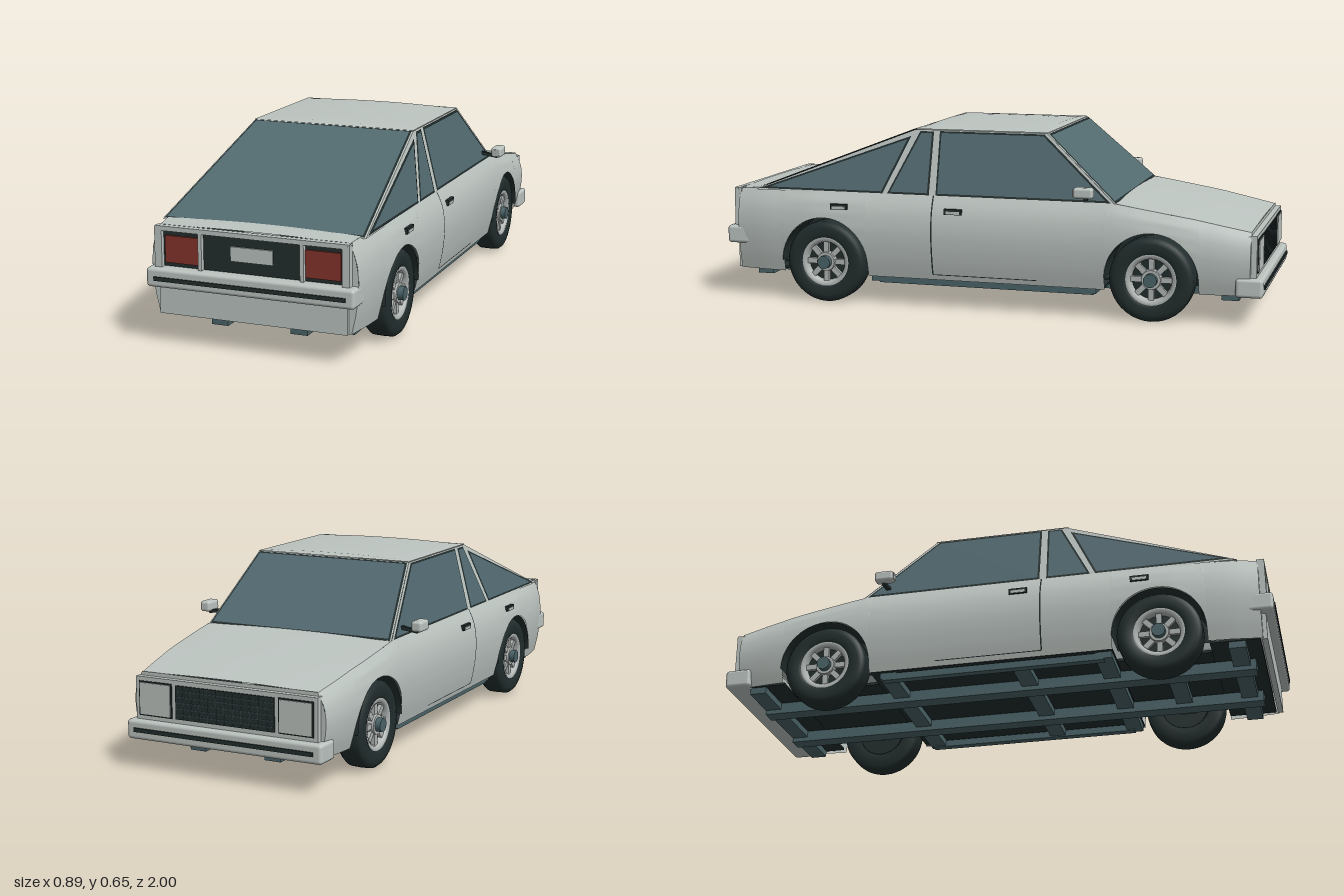
import * as THREE from 'three';
import { RoundedBoxGeometry } from 'three/addons/geometries/RoundedBoxGeometry.js';

const mat = (name, color, side = THREE.FrontSide) => {
  const m = new THREE.MeshStandardMaterial({ color, side });
  m.name = name;
  return m;
};
const { lerp } = THREE.MathUtils;

// piecewise linear lookup in [[key, value], ...]
function lookup(table, k) {
  for (let i = 1; i < table.length; i++) {
    const [a, va] = table[i - 1], [b, vb] = table[i];
    if (k <= b) return lerp(va, vb, Math.max(0, (k - a) / (b - a)));
  }
  return table[table.length - 1][1];
}

// body shape rules: nose at -z, tail at +z
const SILL = 0.105, ARCH = 0.165, HUB_Y = 0.15, AXLES = [-0.61, 0.6], END = 0.95;
const topY = z => lookup([[-0.97, 0.322], [-0.75, 0.366], [-0.475, 0.41], [0.88, 0.41], [0.97, 0.402]], z);
const taper = z => lookup([[-0.97, 0.91], [-0.85, 0.95], [-0.7, 0.985], [-0.55, 1], [0.65, 1], [0.85, 0.965], [0.97, 0.92]], z);
const section = t => lookup([[0, 0.37], [0.2, 0.385], [0.4, 0.394], [0.58, 0.397], [0.75, 0.392], [0.88, 0.382], [1, 0.363]], t);
const bodyX = (y, z) => section((y - SILL) / (topY(z) - SILL)) * taper(z);

export function createModel() {
  const car = new THREE.Group();
  car.name = 'hatchbackCar';
  const paint = mat('silverPaint', 0xbcc4c0, THREE.DoubleSide);
  const glass = mat('tintedGlass', 0x526a70, THREE.DoubleSide);
  const black = mat('blackTrim', 0x222d2d, THREE.DoubleSide);
  const steel = mat('frameSteel', 0x4a6368);
  const red = mat('tailLampRed', 0x84332a);
  const rimMat = mat('rimMetal', 0xb0b6b4);
  const mesh = 0x37474a;
  const grilleMat = mat('grilleBars', mesh);

  function add(name, geo, material, x = 0, y = 0, z = 0, parent = car) {
    const m = new THREE.Mesh(geo, material);
    m.name = name;
    m.position.set(x, y, z);
    parent.add(m);
    return m;
  }
  // box from ranges
  const box = (name, material, x0, x1, y0, y1, z0, z1, r = 0) => add(name,
    r ? new RoundedBoxGeometry(x1 - x0, y1 - y0, z1 - z0, 2, r) : new THREE.BoxGeometry(x1 - x0, y1 - y0, z1 - z0),
    material, (x0 + x1) / 2, (y0 + y1) / 2, (z0 + z1) / 2);
  // surface from a grid rule f(i, j) -> [x, y, z]
  function surf(name, nu, nv, f, material) {
    const pos = [], idx = [];
    for (let i = 0; i <= nu; i++) for (let j = 0; j <= nv; j++) {
      pos.push(...f(i, j));
      if (i < nu && j < nv) {
        const a = i * (nv + 1) + j, b = a + nv + 1;
        idx.push(a, b, a + 1, b, b + 1, a + 1);
      }
    }
    const g = new THREE.BufferGeometry();
    g.setAttribute('position', new THREE.Float32BufferAttribute(pos, 3));
    g.setIndex(idx);
    g.computeVertexNormals();
    return add(name, g, material);
  }

  // columns along the side: [z, lower edge], following both wheel arches
  const cols = [];
  const straight = (a, b, n) => { for (let i = 0; i <= n; i++) cols.push([lerp(a, b, i / n), SILL]); };
  const arch = c => {
    for (let i = 0; i <= 24; i++) {
      const a = (i / 24 - 0.5) * Math.PI;
      cols.push([c + ARCH * Math.sin(a), HUB_Y + ARCH * Math.cos(a)]);
    }
  };
  straight(-END, AXLES[0] - ARCH, 5);
  arch(AXLES[0]);
  straight(AXLES[0] + ARCH, AXLES[1] - ARCH, 8);
  arch(AXLES[1]);
  straight(AXLES[1] + ARCH, END, 5);

  for (const s of [1, -1]) {
    surf('bodySide', cols.length - 1, 12, (i, j) => {
      const [z, low] = cols[i], y = lerp(low, topY(z), j / 12);
      return [s * bodyX(y, z), y, z];
    }, paint);
  }
  // hood, rear deck and the two end caps
  const deck = (name, z0, z1) => surf(name, 10, 12, (i, j) => {
    const z = lerp(z0, z1, i / 10), u = j / 6 - 1, y = topY(z);
    return [u * bodyX(y, z), y + 0.006 * (1 - u * u), z];
  }, paint);
  deck('hood', -END, -0.46);
  deck('rearDeck', 0.85, END);
  for (const z of [-END, END]) {
    surf(z < 0 ? 'nosePanel' : 'tailPanel', 10, 1, (i, j) => {
      const y = lerp(SILL, topY(z) + 0.003, i / 10);
      return [(j * 2 - 1) * bodyX(Math.min(y, topY(z)), z), y, z];
    }, paint);
  }

  // flat convex polygon
  function poly(name, pts, material) {
    const g = new THREE.BufferGeometry().setFromPoints(pts);
    const idx = [];
    for (let i = 2; i < pts.length; i++) idx.push(0, i - 1, i);
    g.setIndex(idx);
    g.computeVertexNormals();
    return add(name, g, material);
  }
  // shrink a polygon by d and lift it outwards by h
  function inset(pts, d, h) {
    const n = pts[1].clone().sub(pts[0]).cross(pts[2].clone().sub(pts[0])).normalize();
    if (n.dot(pts[0].clone().sub(new THREE.Vector3(0, 0.4, 0))) < 0) n.negate();
    return pts.map((p, i) => {
      const a = pts[(i + pts.length - 1) % pts.length].clone().sub(p).normalize();
      const b = pts[(i + 1) % pts.length].clone().sub(p).normalize();
      const k = d / a.clone().cross(b).length();
      return p.clone().addScaledVector(a.add(b), k).addScaledVector(n, h);
    });
  }
  const windowPane = (name, pts, edge = 0) => {
    poly(name + 'Seal', inset(pts, edge, 0.002), black);
    poly(name, inset(pts, edge + 0.007, 0.004), glass);
  };

  // greenhouse
  const cab = (s, z, y) => new THREE.Vector3(s * (0.363 - (y - 0.41) * 0.25), y, z);
  const ROOF = 0.64;
  for (const s of [1, -1]) {
    const side = pairs => pairs.map(([z, y]) => cab(s, z, y));
    poly('cabinSide', side([[0.88, 0.405], [0.27, ROOF], [-0.22, ROOF], [-0.48, 0.405]]), paint);
    windowPane('doorWindow', side([[0.178, 0.41], [0.178, 0.636], [-0.21, 0.636], [-0.462, 0.41]]));
    windowPane('quarterWindow', side([[0.362, 0.41], [0.252, 0.634], [0.2, 0.634], [0.203, 0.41]]));
    windowPane('rearSideWindow', side([[0.86, 0.41], [0.285, 0.616], [0.38, 0.41]]));
  }
  const slope = (zLow, zTop) => [cab(1, zLow, 0.405), cab(1, zTop, ROOF), cab(-1, zTop, ROOF), cab(-1, zLow, 0.405)];
  for (const [name, a, b] of [['windshield', -0.482, -0.22], ['hatch', 0.88, 0.27]]) {
    poly(name + 'Frame', slope(a, b), paint);
    windowPane(name + 'Glass', slope(a, b), 0.005);
  }
  const roofRows = [[-0.222, 0], [-0.2, 0.8], [-0.1, 1], [0.15, 1], [0.25, 0.8], [0.275, 0]];
  surf('roof', roofRows.length - 1, 12, (i, j) => {
    const u = j / 6 - 1;
    return [u * 0.306, ROOF + 0.002 + 0.011 * roofRows[i][1] * (1 - u * u), roofRows[i][0]];
  }, paint);

  // door seams, handles and mirrors
  for (const s of [1, -1]) {
    surf('doorSeam', 12, 1, (i, j) => {
      const y = lerp(0.125, 0.41, i / 12), z = 0.183 + j * 0.005;
      return [s * (bodyX(y, z) + 0.0015), y, z];
    }, black);
    surf('doorBottomSeam', 1, 1, (i, j) => {
      const y = 0.123 + j * 0.003, z = lerp(-0.2, 0.186, i);
      return [s * (bodyX(y, z) + 0.0015), y, z];
    }, black);
    for (const z of [0.105, 0.54]) {
      add('handleRecess', new THREE.BoxGeometry(0.012, 0.02, 0.065), black, s * 0.389, 0.358, z);
      add('doorHandle', new THREE.BoxGeometry(0.012, 0.01, 0.05), paint, s * 0.391, 0.355, z);
    }
    const arm = add('mirrorArm', new THREE.BoxGeometry(0.07, 0.012, 0.015), black, s * 0.385, 0.436, -0.385);
    arm.rotation.z = -s * 0.15;
    add('mirror', new RoundedBoxGeometry(0.04, 0.038, 0.07, 2, 0.01), paint, s * 0.425, 0.452, -0.38);
    add('mirrorGlass', new THREE.BoxGeometry(0.026, 0.024, 0.004), rimMat, s * 0.425, 0.452, -0.345);
  }

  // bumpers with a dark rub strip
  box('rearBumper', paint, -0.37, 0.37, 0.2, 0.266, 0.9, 0.995, 0.012);
  box('rearBumperStrip', black, -0.34, 0.34, 0.224, 0.238, 0.99, 0.999);
  box('frontBumper', paint, -0.37, 0.37, 0.103, 0.17, -0.995, -0.9, 0.012);
  box('frontBumperStrip', black, -0.34, 0.34, 0.13, 0.144, -1, -0.99);

  // tail: lamps, plate and surround
  box('rearValance', paint, -0.335, 0.335, 0.105, 0.21, 0.945, 0.965);
  box('tailRecess', black, -0.325, 0.325, 0.268, 0.392, 0.945, 0.956);
  box('tailTopRail', paint, -0.345, 0.345, 0.39, 0.406, 0.945, 0.972);
  box('numberPlate', paint, -0.075, 0.075, 0.308, 0.357, 0.955, 0.962);
  for (const s of [1, -1]) {
    add('tailLamp', new THREE.BoxGeometry(0.122, 0.092, 0.008), red, s * 0.251, 0.327, 0.959);
    add('tailDivider', new THREE.BoxGeometry(0.013, 0.125, 0.024), paint, s * 0.181, 0.33, 0.96);
    add('tailCornerPost', new THREE.BoxGeometry(0.026, 0.135, 0.027), paint, s * 0.333, 0.333, 0.959);
  }

  // nose: grille and headlamps
  box('noseSurround', paint, -0.345, 0.345, 0.165, 0.316, -0.97, -0.94);
  box('grille', black, -0.188, 0.188, 0.185, 0.3, -0.974, -0.968);
  for (let i = 0; i < 5; i++) box('grilleBar', grilleMat, -0.185, 0.185, 0.2 + i * 0.02, 0.203 + i * 0.02, -0.976, -0.972);
  for (let i = -5; i <= 5; i++) box('grilleRib', grilleMat, i * 0.032 - 0.001, i * 0.032 + 0.001, 0.187, 0.298, -0.976, -0.972);
  for (const s of [1, -1]) {
    add('headlampSeal', new THREE.BoxGeometry(0.128, 0.118, 0.006), black, s * 0.267, 0.243, -0.971);
    add('headlamp', new THREE.BoxGeometry(0.118, 0.108, 0.006), paint, s * 0.267, 0.243, -0.974);
  }

  // dark floor and steel ladder frame
  box('floorSpine', black, -0.25, 0.25, 0.112, 0.122, -0.94, 0.94);
  box('floorMiddle', black, -0.365, 0.365, 0.108, 0.116, -0.443, 0.433);
  box('floorFront', black, -0.335, 0.335, 0.108, 0.116, -0.94, -0.777);
  box('floorRear', black, -0.335, 0.335, 0.108, 0.116, 0.767, 0.94);
  for (const s of [1, -1]) add('frameRail', new THREE.BoxGeometry(0.06, 0.04, 1.82), steel, s * 0.143, 0.088, 0);
  for (const [z, w] of [[-0.88, 0.33], [-0.38, 0.35], [0.1, 0.33], [0.4, 0.35], [0.62, 0.22], [0.86, 0.33]])
    box('crossMember', steel, -w, w, 0.084, 0.108, z - 0.03, z + 0.03);
  for (const s of [1, -1]) add('sillRail', new THREE.BoxGeometry(0.03, 0.025, 0.8), steel, s * 0.335, 0.092, 0);

  // wheels; built facing +y, then turned outwards
  const tirePts = [[0.088, 0.04], [0.1, 0.047], [0.125, 0.047], [0.14, 0.043], [0.149, 0.032],
    [0.15, 0], [0.149, -0.032], [0.14, -0.043], [0.1, -0.047], [0.088, -0.04], [0.088, 0.04]];
  const tireGeo = new THREE.LatheGeometry(tirePts.map(p => new THREE.Vector2(...p)), 40);
  const rimPts = [[0.07, 0.02], [0.074, 0.038], [0.084, 0.043], [0.09, 0.042]].map(p => new THREE.Vector2(...p));
  const rimGeo = new THREE.LatheGeometry(rimPts, 40);
  const rimSide = mat('wheelRim', 0xb0b6b4, THREE.DoubleSide);
  for (const s of [1, -1]) for (const z of AXLES) {
    const wheel = new THREE.Group();
    wheel.name = 'wheel';
    wheel.position.set(s * 0.338, HUB_Y, z);
    wheel.rotation.z = -s * Math.PI / 2;
    car.add(wheel);
    add('tire', tireGeo, black, 0, 0, 0, wheel);
    add('rim', rimGeo, rimSide, 0, 0, 0, wheel);
    add('rimBack', new THREE.CylinderGeometry(0.088, 0.088, 0.04, 32), black, 0, 0, 0, wheel);
    for (let i = 0; i < 8; i++) {
      const a = i * Math.PI / 4;
      const spoke = add('spoke', new THREE.BoxGeometry(0.05, 0.016, 0.02), rimMat, 0.051 * Math.cos(a), 0.025, -0.051 * Math.sin(a), wheel);
      spoke.rotation.y = a;
    }
    add('rimCentre', new THREE.CylinderGeometry(0.034, 0.04, 0.03, 24), rimMat, 0, 0.025, 0, wheel);
    add('hub', new THREE.CylinderGeometry(0.024, 0.024, 0.15, 20), steel, 0, -0.015, 0, wheel);
    // dark wheel housing
    const well = add('wheelWell', new THREE.CylinderGeometry(ARCH, ARCH, 0.14, 32, 1, true, 0, Math.PI), black, s * 0.318, HUB_Y, z);
    well.rotation.z = Math.PI / 2;
    const wall = add('wheelWellWall', new THREE.CircleGeometry(ARCH, 32, 0, Math.PI), black, s * 0.25, HUB_Y, z);
    wall.rotation.y = Math.PI / 2;
  }
  return car;
}
